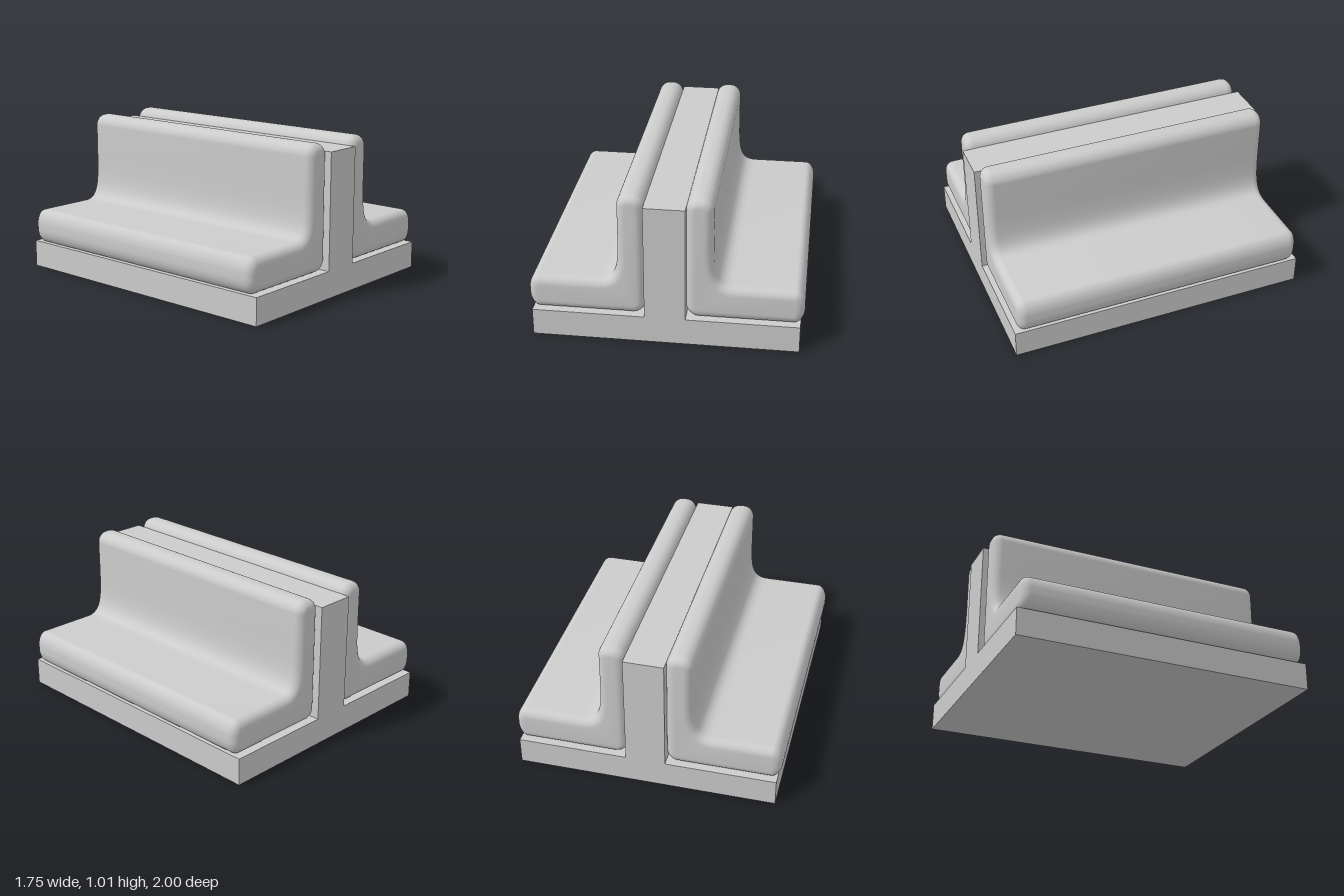
import * as THREE from 'three';
import { toCreasedNormals } from 'three/addons/utils/BufferGeometryUtils.js';

const material = new THREE.MeshStandardMaterial({ color: 0xcccccc });

// Inverted T section: base slab with the central partition
function frameGeometry() {
  const pts = [[-0.85, 0], [0.85, 0], [0.85, 0.18], [0.13, 0.18], [0.13, 0.95],
    [-0.13, 0.95], [-0.13, 0.18], [-0.85, 0.18]];
  const shape = new THREE.Shape(pts.map(([x, y]) => new THREE.Vector2(x, y)));
  return new THREE.ExtrudeGeometry(shape, { depth: 2, bevelEnabled: false }).translate(0, 0, -1);
}

// L section: seat and backrest in one padded piece, rounded all round
function cushionGeometry() {
  const inner = 0.128, outer = 0.873, bottom = 0.18, seat = 0.41, top = 1.008, back = 0.3;
  const r = 0.08, rx = 0.065, ry = 0.1, half = 0.978, bevel = 0.058;
  const s = new THREE.Shape();
  s.moveTo(inner + r, bottom);
  s.lineTo(outer - rx, bottom);
  s.absellipse(outer - rx, bottom + ry, rx, ry, -Math.PI / 2, 0, false, 0);
  s.absellipse(outer - rx, seat - ry, rx, ry, 0, Math.PI / 2, false, 0);
  s.lineTo(0.42, seat);
  s.bezierCurveTo(0.31, seat, back, 0.5, back, 0.72);
  s.lineTo(back, top - 0.075);
  s.absarc(back - 0.075, top - 0.075, 0.075, 0, Math.PI / 2, false);
  s.lineTo(inner + 0.075, top);
  s.absarc(inner + 0.075, top - 0.075, 0.075, Math.PI / 2, Math.PI, false);
  s.lineTo(inner, bottom + r);
  s.absarc(inner + r, bottom + r, r, Math.PI, Math.PI * 1.5, false);
  const geometry = new THREE.ExtrudeGeometry(s, {
    depth: 2 * (half - bevel), curveSegments: 10, steps: 1,
    bevelEnabled: true, bevelThickness: bevel, bevelSize: bevel,
    bevelOffset: -bevel, bevelSegments: 8,
  }).translate(0, 0, -(half - bevel));
  return toCreasedNormals(geometry, 0.8);
}

export function createModel() {
  const group = new THREE.Group();
  group.name = 'doubleSidedBench';

  const frame = new THREE.Mesh(frameGeometry(), material);
  frame.name = 'baseAndPartition';
  group.add(frame);

  // The same cushion on both sides, turned about the partition
  const geometry = cushionGeometry();
  ['leftCushion', 'rightCushion'].forEach((name, i) => {
    const cushion = new THREE.Mesh(geometry, material);
    cushion.name = name;
    cushion.rotation.y = i * Math.PI;
    group.add(cushion);
  });
  return group;
}
